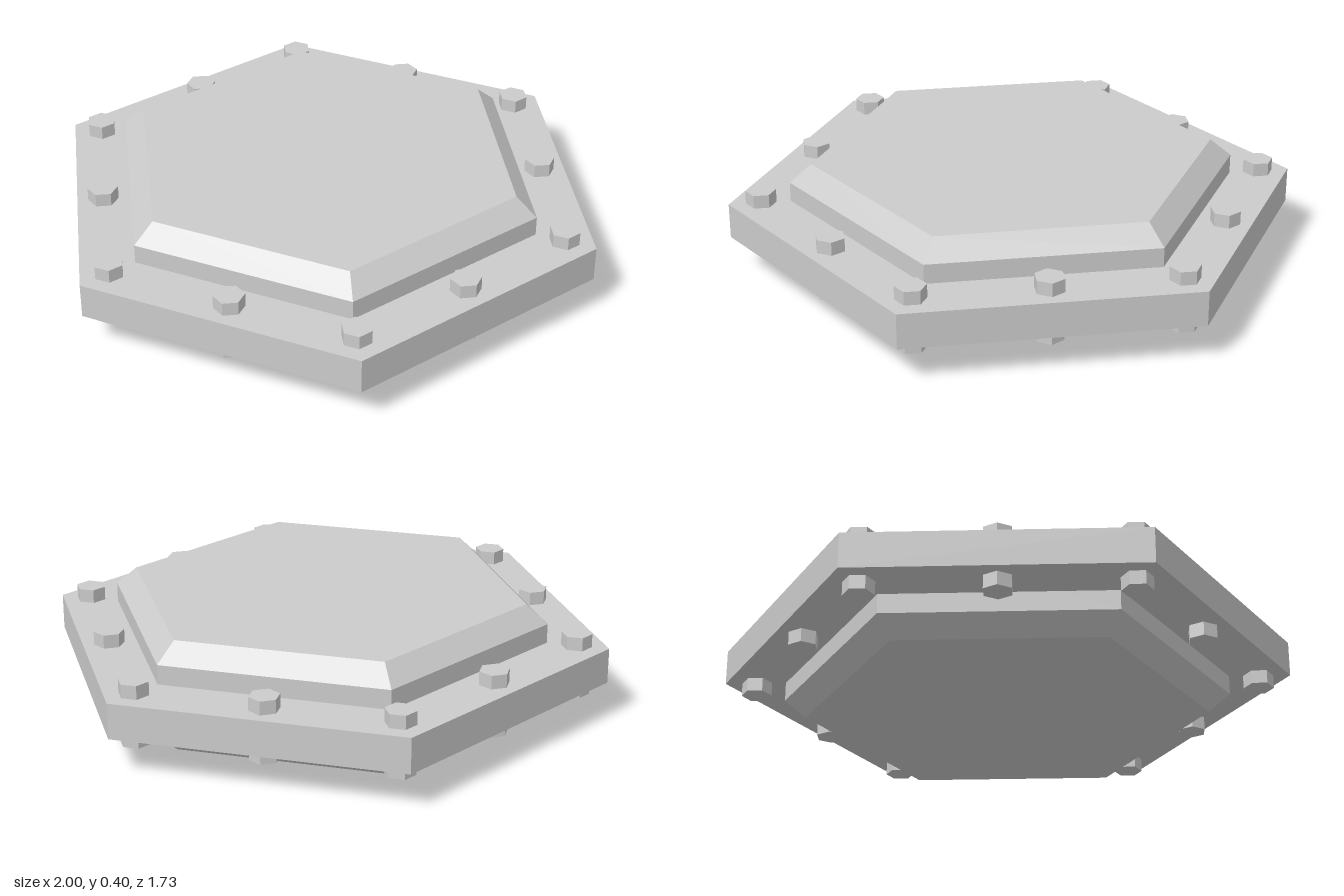
import * as THREE from 'three';

export function createModel() {
  const model = new THREE.Group();
  model.name = 'boltedHexHatch';
  const material = new THREE.MeshStandardMaterial({ color: 0xcccccc, flatShading: true });
  const MID = 0.198; // height of the symmetry plane

  // Hexagonal prism with corners on the x axis, centred on y
  function hexPrism(name, rTop, rBottom, height, y, open = false) {
    const geometry = new THREE.CylinderGeometry(rTop, rBottom, height, 6, 1, open, Math.PI / 2);
    const mesh = new THREE.Mesh(geometry, material);
    mesh.name = name;
    mesh.position.y = y;
    return mesh;
  }

  // Flange plate
  model.add(hexPrism('flange', 1, 1, 0.126, MID));

  // Raised core with bevelled rims and flat lids, above and below the flange
  const profile = [[0, 0], [0.709, 0], [0.785, 0.066], [0.785, 0.33], [0.709, 0.396], [0, 0.396]]
    .map(([r, y]) => new THREE.Vector2(r, y));
  const core = new THREE.Mesh(new THREE.LatheGeometry(profile, 6, Math.PI / 2), material);
  core.name = 'core';
  model.add(core);

  // Through bolts at every corner and every side middle, heads on both faces
  const bolts = new THREE.Group();
  bolts.name = 'bolts';
  for (let i = 0; i < 12; i++) {
    const angle = (i * Math.PI) / 6;
    const radius = i % 2 ? 0.775 : 0.887;
    const bolt = hexPrism('bolt', 0.053, 0.053, 0.222, MID);
    bolt.position.x = Math.cos(angle) * radius;
    bolt.position.z = Math.sin(angle) * radius;
    bolt.rotation.y = -angle;
    bolts.add(bolt);
  }
  model.add(bolts);

  return model;
}
